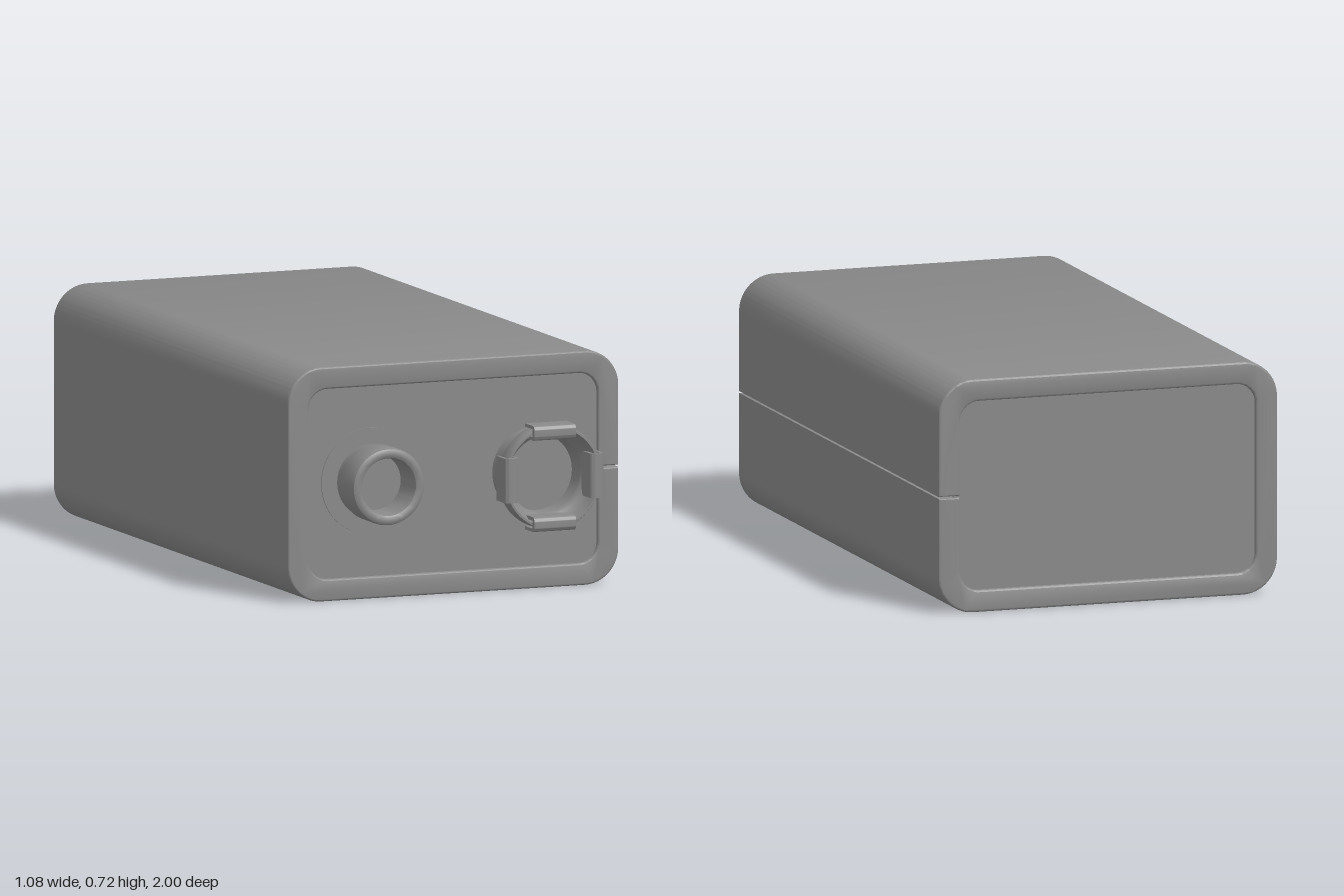
import * as THREE from 'three';
import { toCreasedNormals } from 'three/addons/utils/BufferGeometryUtils.js';

const CY = 0.358; // height of the body's centre line
const HALF_PI = Math.PI / 2;
const material = new THREE.MeshStandardMaterial({ color: 0x888888, side: THREE.DoubleSide });

function add(parent, name, geometry, x = 0, y = 0, z = 0) {
  const mesh = new THREE.Mesh(toCreasedNormals(geometry, 0.6), material);
  mesh.name = name;
  mesh.position.set(x, y, z);
  parent.add(mesh);
  return mesh;
}

// Rounded rectangle path from just above to just below the middle of the +x side
function roundedPath(path, w, h, r, gap) {
  path.moveTo(w, gap);
  path.lineTo(w, h - r);
  path.absarc(w - r, h - r, r, 0, HALF_PI);
  path.absarc(r - w, h - r, r, HALF_PI, Math.PI);
  path.absarc(r - w, r - h, r, Math.PI, 3 * HALF_PI);
  path.absarc(w - r, r - h, r, 3 * HALF_PI, 4 * HALF_PI);
  path.lineTo(w, -gap);
  return path;
}

// Lathe around z; the profile is a list of [radius, z]
function latheZ(profile) {
  const points = profile.map(([r, z]) => new THREE.Vector2(r, z));
  return new THREE.LatheGeometry(points, 64).rotateX(HALF_PI);
}

export function createModel() {
  const model = new THREE.Group();
  model.name = 'battery';

  // Wrapped shell: a C-shaped section with a thin seam on the +x side
  const seam = 0.003, bevel = 0.006;
  const section = roundedPath(new THREE.Shape(), 0.542, 0.358, 0.11, seam);
  const inside = roundedPath(new THREE.Path(), 0.474, 0.291, 0.062, seam);
  inside.getPoints(12).reverse().forEach((p) => section.lineTo(p.x, p.y));
  add(model, 'shell', new THREE.ExtrudeGeometry(section, {
    depth: 1.836 - 2 * bevel, curveSegments: 12,
    bevelThickness: bevel, bevelSize: bevel, bevelOffset: -bevel, bevelSegments: 3,
  }), 0, CY + 0.001, -1 + bevel);

  // Inner block whose ends are the slightly recessed end panels
  const core = roundedPath(new THREE.Shape(), 0.49, 0.306, 0.075, 0);
  add(model, 'endPanels', new THREE.ExtrudeGeometry(core, {
    depth: 1.808, curveSegments: 12, bevelEnabled: false,
  }), 0, CY + 0.001, -0.986);

  // Smaller terminal: thin washer and hollow post
  const post = new THREE.Group();
  post.name = 'smallTerminal';
  post.position.set(-0.265, CY + 0.002, 0);
  model.add(post);
  add(post, 'washer', latheZ([[0.163, 0.81], [0.163, 0.826], [0, 0.826]]));
  add(post, 'hollowPost', latheZ([
    [0.112, 0.81], [0.112, 0.852], [0.118, 0.864], [0.118, 0.955], [0.115, 0.963],
    [0.108, 0.967], [0.096, 0.967], [0.089, 0.963], [0.086, 0.955], [0.086, 0.85], [0, 0.85],
  ]));

  // Larger terminal: neck opening into a flared dish
  const socket = new THREE.Group();
  socket.name = 'largeTerminal';
  socket.position.set(0.265, CY + 0.002, 0);
  model.add(socket);
  add(socket, 'flaredSocket', latheZ([
    [0.132, 0.81], [0.132, 0.9], [0.136, 0.912], [0.145, 0.919], [0.155, 0.923],
    [0.16, 0.932], [0.16, 0.979], [0.157, 0.985], [0.151, 0.985], [0.149, 0.975],
    [0.145, 0.953], [0.137, 0.936], [0.126, 0.926], [0.119, 0.917], [0.117, 0.905],
    [0.117, 0.85], [0, 0.85],
  ]));

  // Four folded clips over the dish rim; section drawn as radius by z
  const clip = new THREE.Shape();
  clip.moveTo(0.117, 0.925);
  clip.lineTo(0.117, 0.986);
  clip.absarc(0.131, 0.986, 0.014, Math.PI, HALF_PI, true);
  clip.absarc(0.148, 0.986, 0.014, HALF_PI, 0, true);
  clip.lineTo(0.162, 0.925);
  clip.lineTo(0.152, 0.925);
  clip.lineTo(0.152, 0.984);
  clip.lineTo(0.128, 0.984);
  clip.lineTo(0.128, 0.925);
  const clipGeometry = new THREE.ExtrudeGeometry(clip, {
    depth: 0.136, curveSegments: 6, bevelEnabled: false,
  }).translate(0, 0, -0.068).rotateX(HALF_PI);
  for (let i = 0; i < 4; i++) {
    add(socket, 'clip', clipGeometry).rotation.z = i * HALF_PI;
  }

  return model;
}
